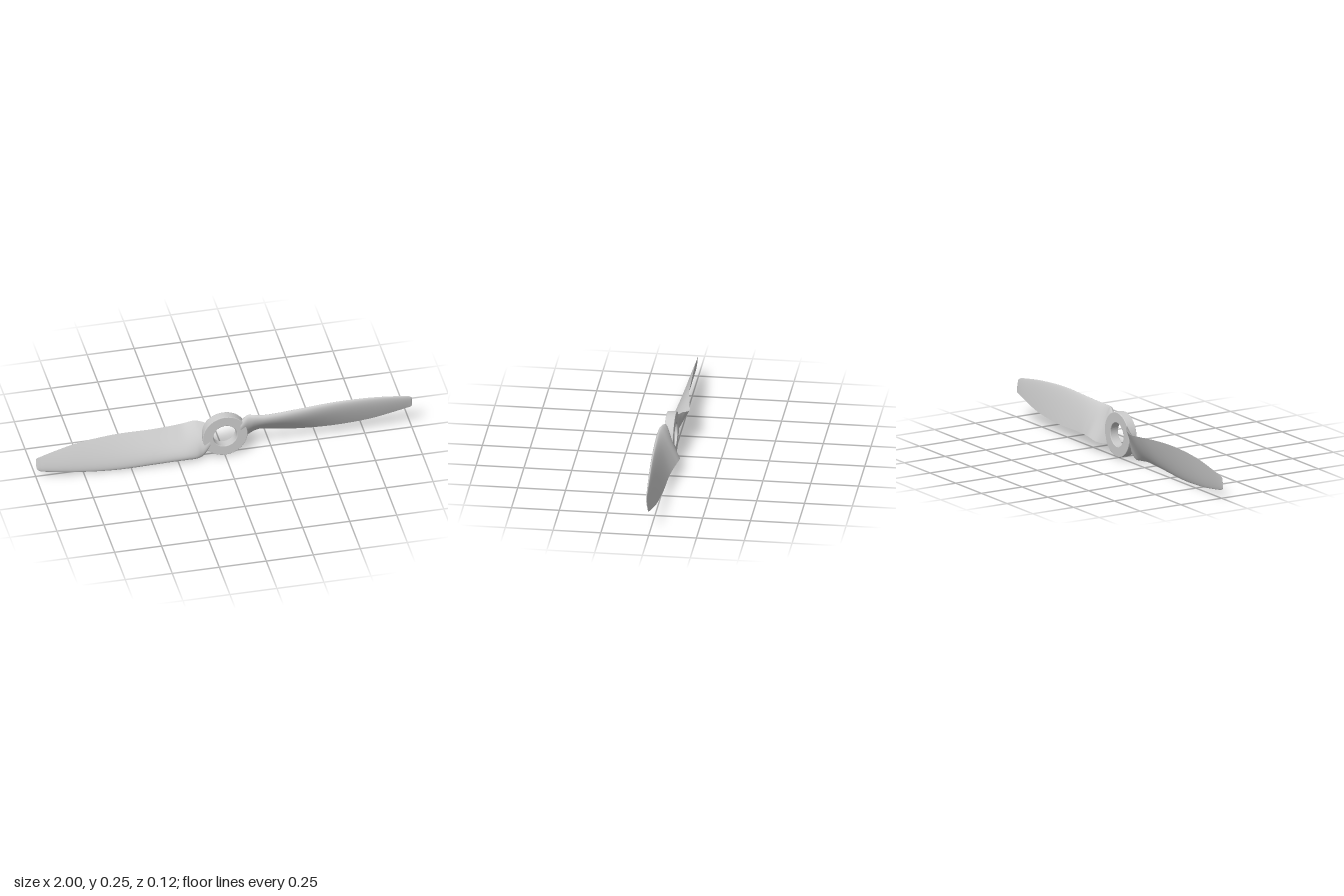
import * as THREE from 'three';

// Blade stations: x, leading y, leading z, trailing y, trailing z, thickness
const STATIONS = [
  [0.08, 0.068, 0.022, -0.066, 0.0, 0.028],
  [0.12, 0.111, 0.03, -0.07, -0.028, 0.034],
  [0.15, 0.114, 0.042, -0.063, -0.05, 0.038],
  [0.2, 0.11, 0.049, -0.05, -0.058, 0.04],
  [0.27, 0.111, 0.048, -0.051, -0.047, 0.038],
  [0.38, 0.116, 0.043, -0.057, -0.031, 0.034],
  [0.58, 0.124, 0.034, -0.062, -0.022, 0.026],
  [0.78, 0.114, 0.023, -0.044, -0.012, 0.019],
  [0.92, 0.096, 0.016, -0.012, -0.004, 0.012],
  [0.975, 0.086, 0.013, 0.003, 0.0, 0.009],
  [0.993, 0.076, 0.011, 0.008, 0.002, 0.006],
  [1.0, 0.05, 0.008, 0.015, 0.004, 0],
];

// Airfoil half thickness along the chord, rounded at u = 0 and sharp at u = 1
function airfoil(u) {
  return 2 * (1.4845 * Math.sqrt(u) - 0.63 * u - 1.758 * u * u + 1.4215 * u ** 3 - 0.518 * u ** 4);
}

// Loft of airfoil sections, convex on the front and nearly flat on the back
function bladeGeometry(steps = 110, half = 18) {
  const curve = (pick) => new THREE.CatmullRomCurve3(STATIONS.map((s) => new THREE.Vector3(...pick(s))));
  const leading = curve((s) => [s[0], s[1], s[2]]);
  const trailing = curve((s) => [s[0], s[3], s[4]]);
  const thickness = curve((s) => [s[0], s[5], 0]);
  const positions = [], indices = [];
  const row = 2 * half + 1;
  for (let i = 0; i <= steps; i++) {
    const t = i / steps;
    const le = leading.getPoint(t), te = trailing.getPoint(t);
    const thick = Math.max(0, thickness.getPoint(t).y);
    const chord = te.clone().sub(le);
    const normal = new THREE.Vector3(0, chord.z, -chord.y).normalize();
    for (let j = 0; j < row; j++) {
      const k = j / half - 1; // trailing edge, front, leading edge, back, trailing edge
      const u = 1 - Math.cos(k * Math.PI / 2);
      const side = k < 0 ? 0.75 : -0.25;
      const p = le.clone().addScaledVector(chord, u)
        .addScaledVector(normal, side * thick * Math.max(0, airfoil(u)));
      positions.push(p.x, p.y, p.z);
      if (i < steps && j < row - 1) {
        const a = i * row + j, b = a + row;
        indices.push(a, b, b + 1, a, b + 1, a + 1);
      }
    }
  }
  const geometry = new THREE.BufferGeometry();
  geometry.setAttribute('position', new THREE.Float32BufferAttribute(positions, 3));
  geometry.setIndex(indices);
  geometry.computeVertexNormals();
  return geometry;
}

// Ring with a shaft hole and a small bevel
function hubGeometry() {
  const bevel = 0.003;
  const shape = new THREE.Shape().absarc(0, 0, 0.119 - bevel, 0, Math.PI * 2);
  shape.holes.push(new THREE.Path().absarc(0, 0, 0.063 + bevel, 0, Math.PI * 2, true));
  return new THREE.ExtrudeGeometry(shape, {
    depth: 0.049 - 2 * bevel, curveSegments: 48,
    bevelThickness: bevel, bevelSize: bevel, bevelSegments: 2,
  }).translate(0, 0, -0.013 + bevel);
}

export function createModel() {
  const group = new THREE.Group();
  group.name = 'propeller';
  const material = new THREE.MeshStandardMaterial({ color: 0xcccccc, side: THREE.DoubleSide });

  const hub = new THREE.Mesh(hubGeometry(), material);
  hub.name = 'hub';
  group.add(hub);

  // Two identical blades, half a turn apart
  const geometry = bladeGeometry();
  ['leftBlade', 'rightBlade'].forEach((name, i) => {
    const blade = new THREE.Mesh(geometry, material);
    blade.name = name;
    blade.rotation.z = i * Math.PI;
    group.add(blade);
  });

  group.children.forEach((part) => { part.position.y = 0.126; });
  return group;
}
